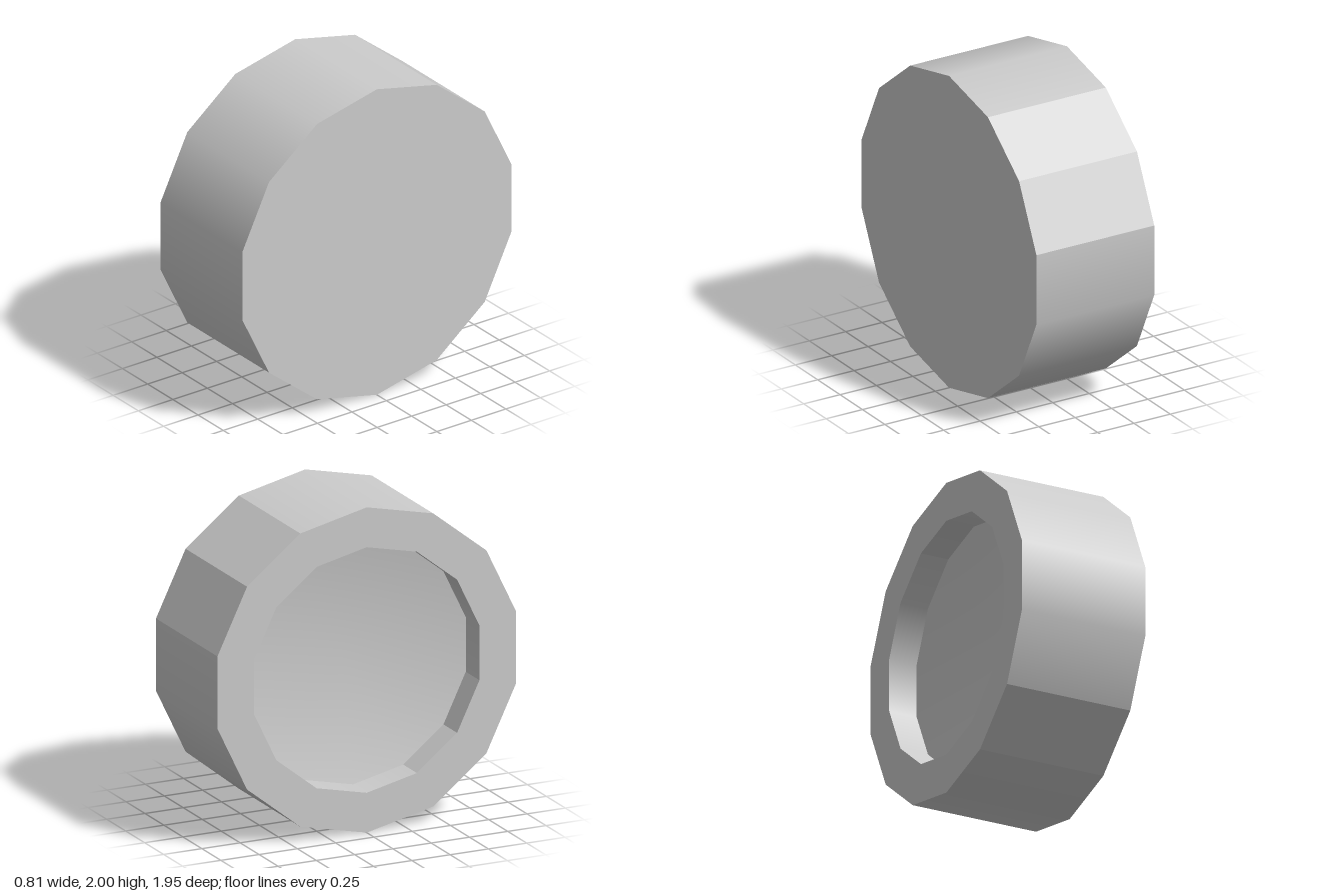
import * as THREE from 'three';
import { mergeVertices } from 'three/addons/utils/BufferGeometryUtils.js';

const SIDES = 14, STEP = Math.PI * 2 / SIDES;
const HALF = 0.405, OUTER = 1, INNER = 0.755, DEPTH = 0.18, DISH = 0.15;

export function createModel() {
  const group = new THREE.Group();
  const material = new THREE.MeshStandardMaterial({ color: 0xcccccc });

  const add = (name, geometry, x) => {
    const mesh = new THREE.Mesh(geometry, material);
    mesh.name = name;
    mesh.position.set(x, 1, 0);
    group.add(mesh);
  };

  // Run of wall facets around the x axis, counted from the top towards +z.
  // Facets within one run blend smoothly; separate runs meet at a hard edge.
  const wall = (radius, length, first, count, inward = false) => {
    const g = new THREE.CylinderGeometry(radius, radius, length, count, 1, true,
      first * STEP - Math.PI / 2, count * STEP);
    g.rotateZ(-Math.PI / 2);
    if (inward) g.index.array.reverse();
    const sign = inward ? -1 : 1, normal = g.attributes.normal;
    for (let i = 0; i < normal.count; i++) {
      const k = THREE.MathUtils.clamp(i % (count + 1), 0.5, count - 0.5);
      const a = (first + k) * STEP;
      normal.setXYZ(i, 0, sign * Math.cos(a), sign * Math.sin(a));
    }
    return g;
  };

  // Outer rim
  for (const [first, count] of [[-1, 6], [5, 1], [6, 5], [11, 1], [12, 1]]) {
    add('outerWall', wall(OUTER, HALF * 2, first, count), 0);
  }

  // Closed face on the +x side
  add('closedFace', new THREE.CircleGeometry(OUTER, SIDES, Math.PI / 2).rotateY(Math.PI / 2), HALF);

  // Flat ring around the recess on the -x side
  add('recessRing', new THREE.RingGeometry(INNER, OUTER, SIDES, 1, Math.PI / 2).rotateY(-Math.PI / 2), -HALF);

  // Recess wall
  for (const [first, count] of [[-1, 5], [4, 1], [5, 1], [6, 7]]) {
    add('recessWall', wall(INNER, DEPTH, first, count, true), -HALF + DEPTH / 2);
  }

  // Recess floor, dished towards its centre
  let floor = new THREE.CircleGeometry(INNER, SIDES, Math.PI / 2);
  floor.attributes.position.setZ(0, -DISH);
  floor.deleteAttribute('uv');
  floor.deleteAttribute('normal');
  floor = mergeVertices(floor);
  floor.computeVertexNormals();
  add('recessFloor', floor.rotateY(-Math.PI / 2), -HALF + DEPTH);

  return group;
}
